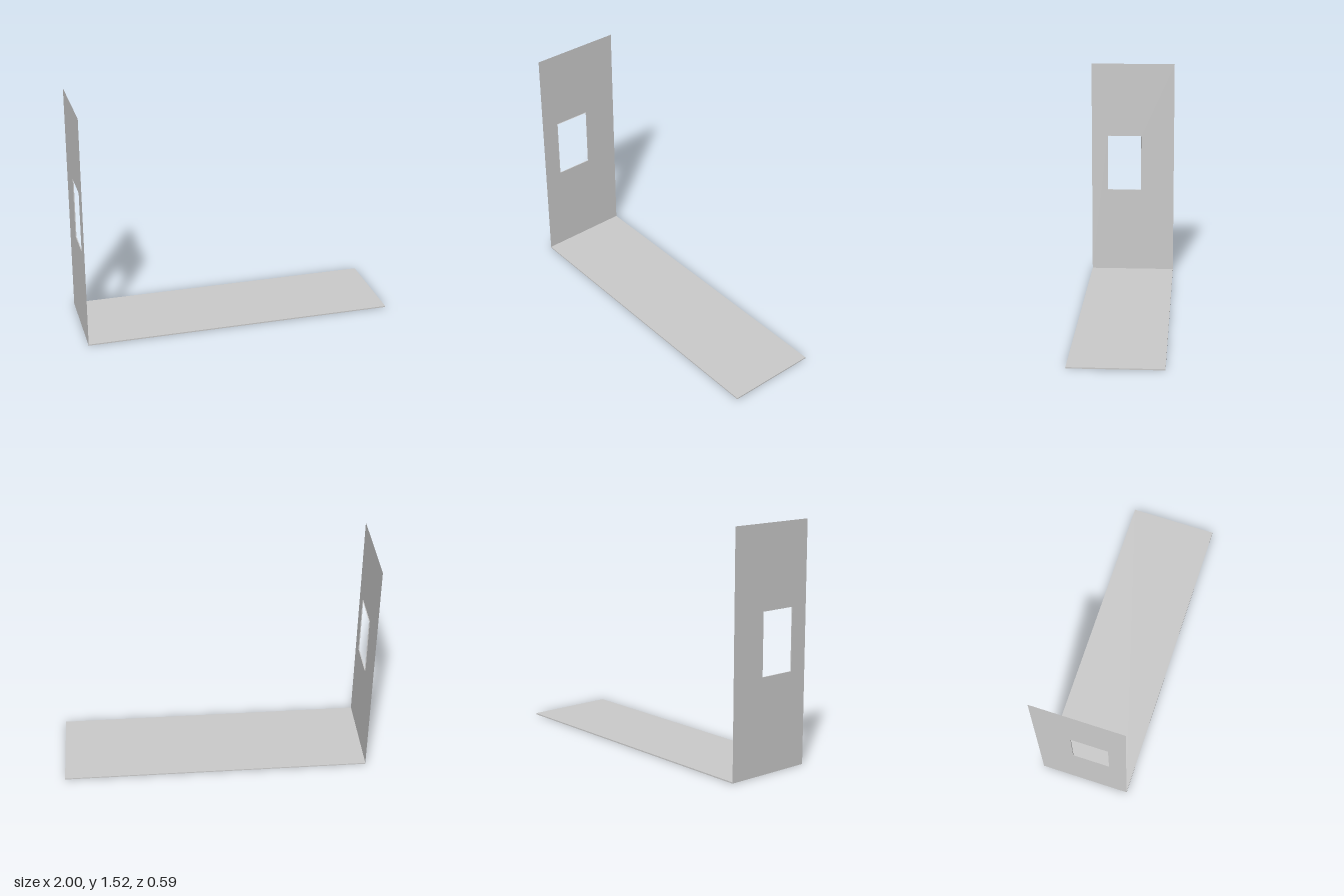
import * as THREE from 'three';

export function createModel() {
  const group = new THREE.Group();
  const mat = new THREE.MeshStandardMaterial({ color: 0xcccccc, side: THREE.DoubleSide });
  const add = (name, geo, x, y, z) => {
    const mesh = new THREE.Mesh(geo, mat);
    mesh.name = name;
    mesh.position.set(x, y, z);
    group.add(mesh);
    return mesh;
  };
  const depth = 0.59, height = 1.52, slab = 0.008, reveal = 0.006;
  const win = { z0: -0.06, z1: 0.18, y0: 0.605, y1: 1.0 };

  // Thin floor slab
  add('floor', new THREE.BoxGeometry(2, slab, depth), 0, slab / 2, 0);

  // Sheet wall with a window opening; shape x runs along -z after turning
  const rect = (Type, a, b, c, d) => new Type([
    new THREE.Vector2(a, b), new THREE.Vector2(c, b),
    new THREE.Vector2(c, d), new THREE.Vector2(a, d),
  ]);
  const outline = rect(THREE.Shape, -depth / 2, 0, depth / 2, height);
  outline.holes.push(rect(THREE.Path, -win.z1, win.y0, -win.z0, win.y1));
  add('wall', new THREE.ShapeGeometry(outline), -1, 0, 0).rotation.y = Math.PI / 2;

  // Shallow reveal lining the opening
  const x = -1 + reveal / 2;
  const midY = (win.y0 + win.y1) / 2, midZ = (win.z0 + win.z1) / 2;
  for (const y of [win.y0, win.y1]) {
    add('windowReveal', new THREE.PlaneGeometry(reveal, win.z1 - win.z0), x, y, midZ).rotation.x = -Math.PI / 2;
  }
  for (const z of [win.z0, win.z1]) {
    add('windowReveal', new THREE.PlaneGeometry(reveal, win.y1 - win.y0), x, midY, z);
  }
  return group;
}
